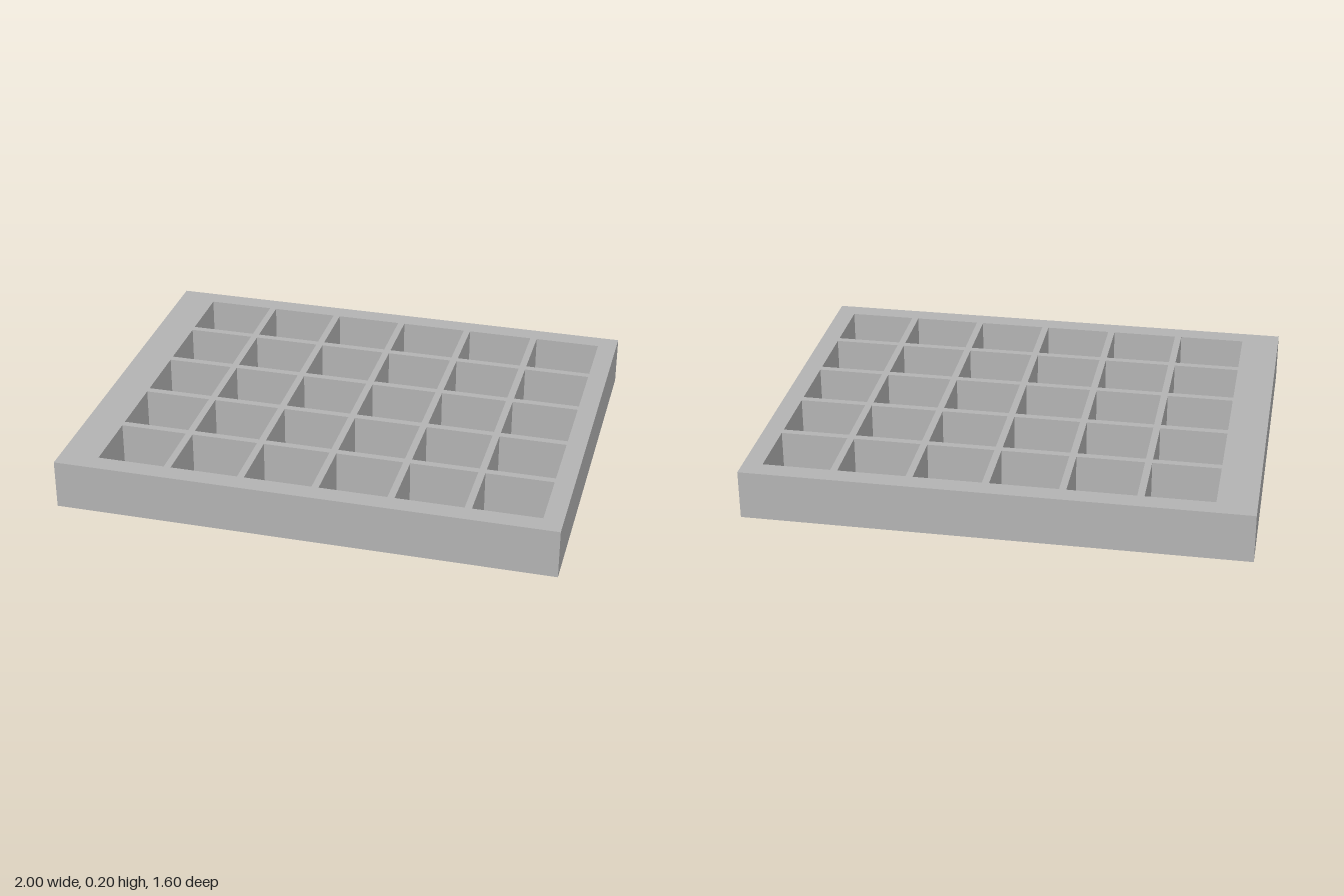
import * as THREE from 'three';

export function createModel() {
  const group = new THREE.Group();
  group.name = 'gridTray';
  const grey = new THREE.MeshStandardMaterial({ color: 0xb4b4b4 });
  grey.name = 'grey';

  const rect = (path, x0, y0, x1, y1) => {
    path.moveTo(x0, y0);
    path.lineTo(x1, y0);
    path.lineTo(x1, y1);
    path.lineTo(x0, y1);
    path.closePath();
    return path;
  };

  // Slab outline with a 6 x 5 grid of open cells; the left-hand rim is wider
  const slab = rect(new THREE.Shape(), -1, -0.8, 1, 0.8);
  const columns = 6, rows = 5;
  const cellX = 0.271, cellZ = 0.265;
  const pitchX = 0.299, pitchZ = 0.2945;
  const startX = -0.844, startZ = -0.7215;
  for (let i = 0; i < columns; i++) {
    for (let j = 0; j < rows; j++) {
      const x = startX + i * pitchX;
      const z = startZ + j * pitchZ;
      slab.holes.push(rect(new THREE.Path(), x, z, x + cellX, z + cellZ));
    }
  }

  // Extrude upward from the ground
  const geometry = new THREE.ExtrudeGeometry(slab, { depth: 0.2, bevelEnabled: false });
  geometry.rotateX(-Math.PI / 2);
  const frame = new THREE.Mesh(geometry, grey);
  frame.name = 'gridFrame';
  group.add(frame);
  return group;
}
